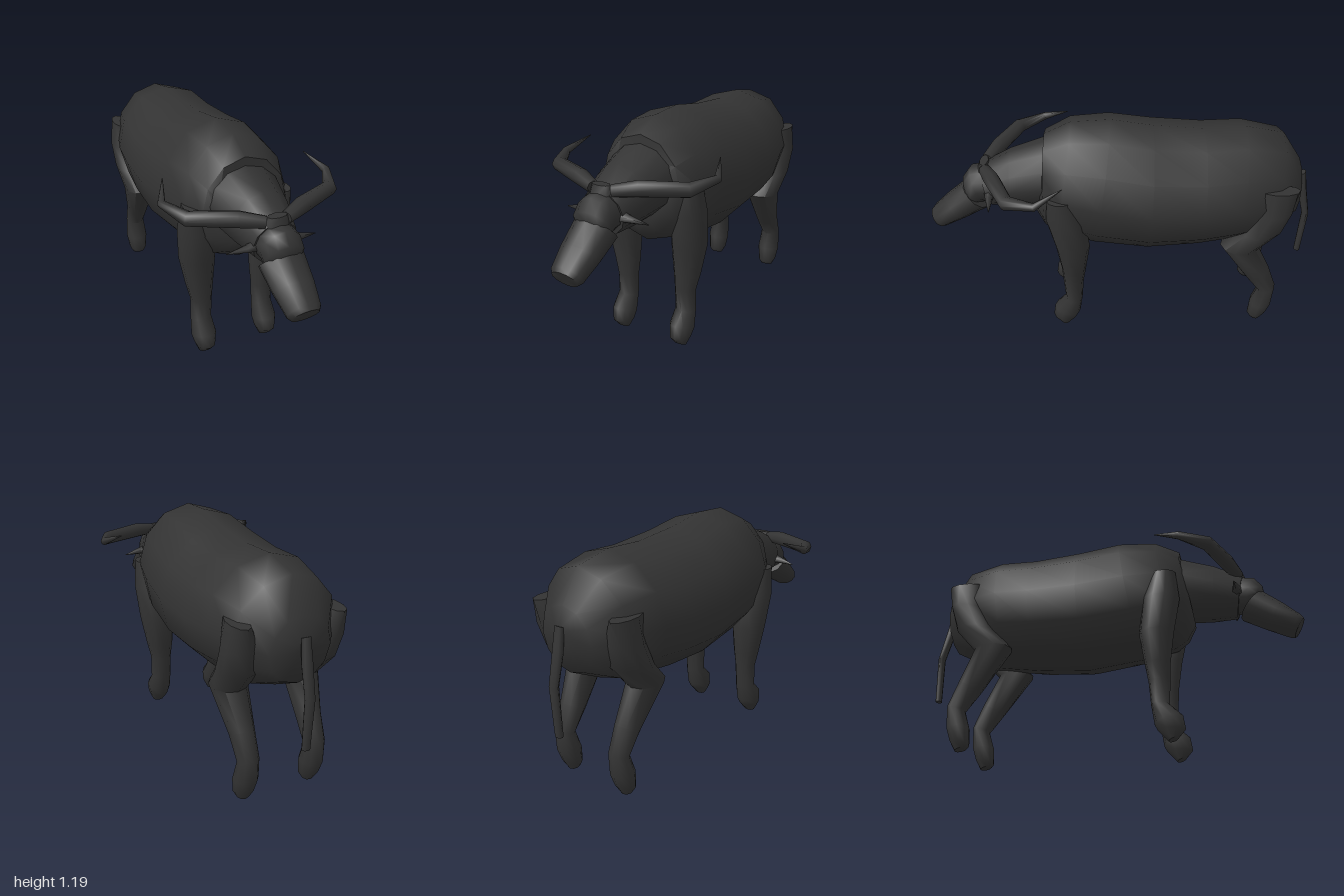
import * as THREE from 'three';
import { toCreasedNormals } from 'three/addons/utils/BufferGeometryUtils.js';

const hide = new THREE.MeshStandardMaterial({ color: 0x333333 });
hide.name = 'dark hide';

// Skin a list of rings, each { c: centre, u, v: half axes }, with flat end caps.
function loft(rings, sides) {
  const pos = [], idx = [];
  for (const { c, u, v } of rings) {
    for (let i = 0; i < sides; i++) {
      const a = (i / sides) * Math.PI * 2;
      const p = c.clone().addScaledVector(u, Math.cos(a)).addScaledVector(v, Math.sin(a));
      pos.push(p.x, p.y, p.z);
    }
  }
  const last = rings.length - 1;
  for (let r = 0; r < last; r++) {
    for (let i = 0; i < sides; i++) {
      const j = (i + 1) % sides;
      const a = r * sides + i, b = r * sides + j, c = a + sides, d = b + sides;
      idx.push(a, b, d, a, d, c);
    }
  }
  for (const r of [0, last]) {
    const centre = pos.length / 3;
    pos.push(...rings[r].c.toArray());
    for (let i = 0; i < sides; i++) {
      const a = r * sides + i, b = r * sides + (i + 1) % sides;
      if (r === 0) idx.push(centre, b, a);
      else idx.push(centre, a, b);
    }
  }
  // Turn the faces outward if the enclosed volume is negative.
  const P = (i) => new THREE.Vector3().fromArray(pos, i * 3);
  let volume = 0;
  for (let i = 0; i < idx.length; i += 3) {
    volume += P(idx[i]).dot(P(idx[i + 1]).cross(P(idx[i + 2])));
  }
  if (volume < 0) idx.reverse();
  const geo = new THREE.BufferGeometry();
  geo.setAttribute('position', new THREE.Float32BufferAttribute(pos, 3));
  geo.setIndex(idx);
  return toCreasedNormals(geo, 1.05);
}

// Ring from two profile points A and B in the side plane: [zA, yA, zB, yB, half width, x].
const section = ([zA, yA, zB, yB, rx, x = 0]) => ({
  c: new THREE.Vector3(x, (yA + yB) / 2, (zA + zB) / 2),
  u: new THREE.Vector3(0, (yA - yB) / 2, (zA - zB) / 2),
  v: new THREE.Vector3(rx, 0, 0),
});

// Rings along a path of [x, y, z, radius], upright and square to its direction.
function pathRings(path) {
  const pts = path.map(([x, y, z]) => new THREE.Vector3(x, y, z));
  return path.map((p, i) => {
    const dir = pts[Math.min(i + 1, pts.length - 1)].clone().sub(pts[Math.max(i - 1, 0)]).normalize();
    const side = new THREE.Vector3(0, 1, 0).cross(dir).normalize();
    const up = dir.clone().cross(side);
    return { c: pts[i], u: up.multiplyScalar(p[3]), v: side.multiplyScalar(p[3]) };
  });
}

// Mirror path or section data across x = 0.
const mirrorPath = (path, s) => path.map(([x, ...rest]) => [x * s, ...rest]);
const mirrorLeg = (secs, s) => secs.map((k) => [...k.slice(0, 5), k[5] * s]);

export function createModel() {
  const model = new THREE.Group();
  model.name = 'buffalo';
  const add = (name, rings, sides) => {
    const mesh = new THREE.Mesh(loft(rings, sides), hide);
    mesh.name = name;
    model.add(mesh);
  };

  // Barrel body from chest to rump
  add('body', [
    [0.385, 1.02, 0.445, 0.69, 0.16],
    [0.383, 1.115, 0.4, 0.61, 0.22],
    [0.25, 1.18, 0.34, 0.565, 0.27],
    [0.056, 1.19, 0.16, 0.512, 0.308],
    [-0.153, 1.155, -0.126, 0.478, 0.327],
    [-0.405, 1.134, -0.39, 0.497, 0.32],
    [-0.61, 1.144, -0.55, 0.52, 0.305],
    [-0.8, 1.107, -0.7, 0.545, 0.26],
    [-0.9, 0.957, -0.882, 0.64, 0.15],
    [-0.925, 0.86, -0.915, 0.78, 0.05],
  ].map(section), 12);

  // Neck, head and muzzle
  add('neck', [
    [0.34, 1.085, 0.42, 0.727, 0.19],
    [0.56, 1.015, 0.55, 0.715, 0.15],
    [0.71, 0.94, 0.667, 0.716, 0.11],
  ].map(section), 12);
  add('head', [
    [0.64, 0.94, 0.62, 0.74, 0.09],
    [0.71, 0.935, 0.66, 0.74, 0.1],
    [0.77, 0.925, 0.7, 0.74, 0.1],
    [0.81, 0.87, 0.73, 0.73, 0.1],
    [0.815, 0.82, 0.76, 0.74, 0.07],
  ].map(section), 12);
  add('muzzle', [
    [0.81, 0.835, 0.684, 0.71, 0.11],
    [0.91, 0.755, 0.81, 0.64, 0.1],
    [0.985, 0.685, 0.925, 0.582, 0.084],
    [1.0, 0.666, 0.945, 0.578, 0.068],
  ].map(section), 12);
  add('poll', [
    [0.73, 0.92, 0.66, 0.92, 0.062],
    [0.715, 0.965, 0.67, 0.968, 0.05],
  ].map(section), 8);

  const foreleg = [
    [0.37, 0.88, 0.24, 0.88, 0.045, 0.24],
    [0.383, 0.74, 0.19, 0.74, 0.09, 0.21],
    [0.345, 0.56, 0.17, 0.56, 0.093, 0.193],
    [0.322, 0.4, 0.195, 0.4, 0.072, 0.182],
    [0.318, 0.31, 0.21, 0.31, 0.056, 0.175],
    [0.31, 0.19, 0.22, 0.19, 0.055, 0.177],
    [0.372, 0.13, 0.235, 0.09, 0.064, 0.178],
    [0.383, 0.06, 0.25, 0.06, 0.054, 0.177],
    [0.345, 0.02, 0.3, 0.005, 0.033, 0.178],
  ];
  const hindLeg = [
    [-0.667, 0.92, -0.86, 0.92, 0.045, 0.235],
    [-0.66, 0.78, -0.845, 0.8, 0.085, 0.215],
    [-0.59, 0.65, -0.81, 0.675, 0.095, 0.2],
    [-0.505, 0.555, -0.7, 0.55, 0.09, 0.19],
    [-0.66, 0.326, -0.78, 0.385, 0.06, 0.178],
    [-0.737, 0.23, -0.83, 0.255, 0.053, 0.177],
    [-0.705, 0.135, -0.823, 0.135, 0.062, 0.178],
    [-0.7, 0.05, -0.8, 0.07, 0.052, 0.178],
    [-0.71, 0.035, -0.77, 0.018, 0.033, 0.178],
  ];
  const horn = [
    [0.05, 0.94, 0.685, 0.03],
    [0.16, 0.955, 0.635, 0.04],
    [0.36, 0.958, 0.545, 0.036],
    [0.425, 0.98, 0.41, 0.02],
    [0.37, 1.036, 0.283, 0.002],
  ];
  const ear = [
    [0.07, 0.825, 0.67, 0.035],
    [0.13, 0.818, 0.67, 0.02],
    [0.225, 0.807, 0.66, 0.002],
  ];
  for (const [side, s] of [['left', 1], ['right', -1]]) {
    add(side + 'FrontLeg', mirrorLeg(foreleg, s).map(section), 10);
    add(side + 'HindLeg', mirrorLeg(hindLeg, s).map(section), 10);
    add(side + 'Horn', pathRings(mirrorPath(horn, s)), 8);
    add(side + 'Ear', pathRings(mirrorPath(ear, s)), 6);
  }

  // Hanging tail
  add('tail', [
    [-0.945, 0.88, -0.905, 0.86, 0.022],
    [-0.965, 0.77, -0.925, 0.75, 0.028],
    [-1.0, 0.61, -0.963, 0.61, 0.026],
    [-0.99, 0.36, -0.957, 0.36, 0.021],
  ].map(section), 8);

  return model;
}
